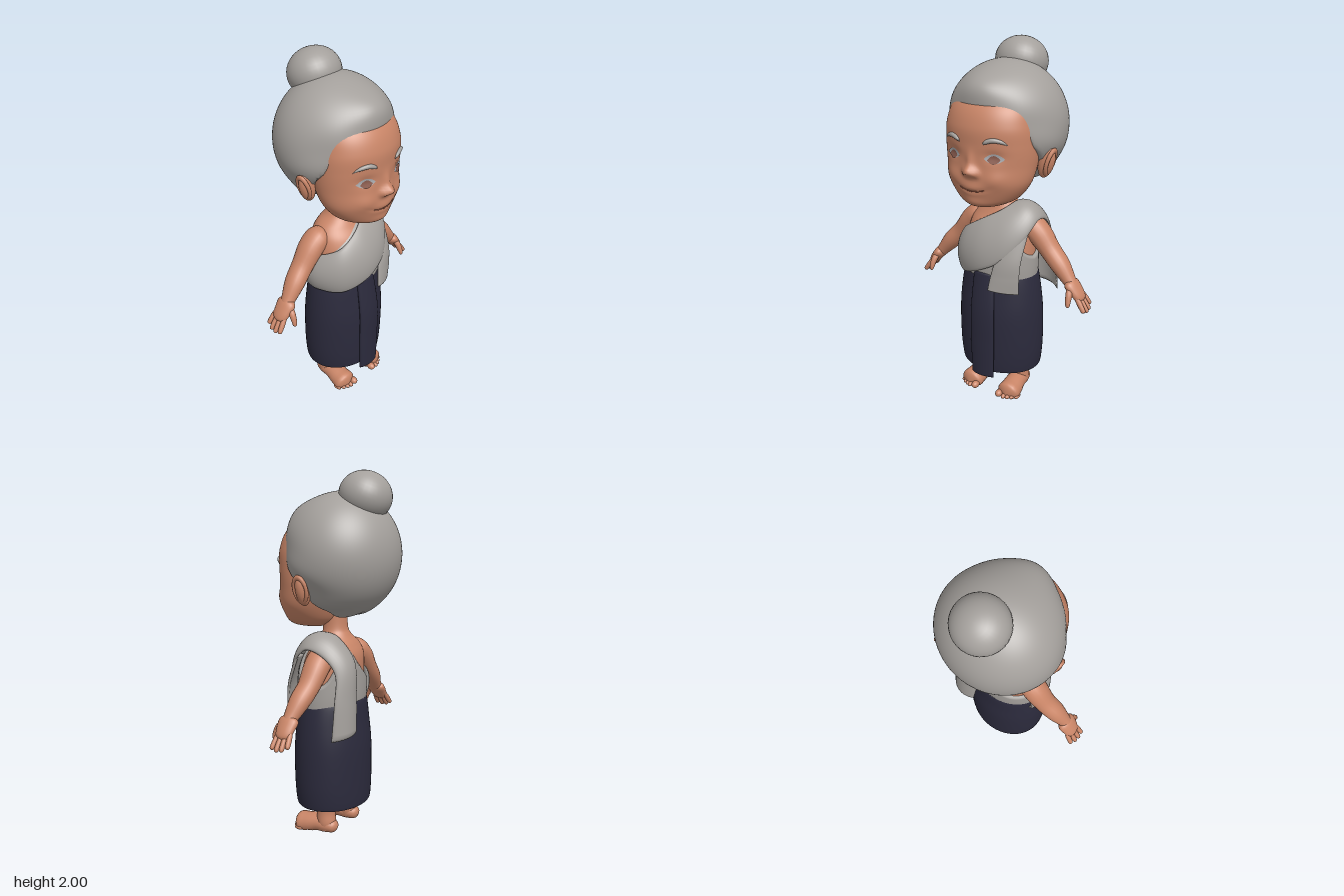
import * as THREE from 'three';
import { mergeVertices } from 'three/addons/utils/BufferGeometryUtils.js';
import { ParametricGeometry } from 'three/addons/geometries/ParametricGeometry.js';

const mat = (name, color) => Object.assign(new THREE.MeshStandardMaterial({ color }), { name });
const skin = mat('skin', 0xc98567), grey = mat('greyHairAndCloth', 0xa4a09c), navy = mat('navyCloth', 0x2b2a3c);
const iris = mat('irisBrown', 0x8d5e50), eyeGrey = mat('eyeGrey', 0xaeb0b4), lip = mat('lipLine', 0x9a5a46);
grey.side = navy.side = THREE.DoubleSide;

// smooth interpolation through rows of numbers, t in 0..1
function mix(rows, t) {
  const n = rows.length - 1, i = Math.min(Math.floor(t * n), n - 1), f = t * n - i;
  const b = rows[i], c = rows[i + 1], a = rows[i - 1] ?? b, d = rows[i + 2] ?? c;
  return b.map((_, k) => b[k] + 0.5 * f * (c[k] - a[k] + f * (2 * a[k] - 5 * b[k] + 4 * c[k] - d[k]
    + f * (3 * (b[k] - c[k]) + d[k] - a[k]))));
}

// section of a loft at height y (first column is y)
function rowAt(rows, y) {
  let lo = 0, hi = 1;
  for (let i = 0; i < 22; i++) {
    const m = (lo + hi) / 2;
    if (mix(rows, m)[0] < y) lo = m; else hi = m;
  }
  return mix(rows, lo);
}

function surf(fn, nu, nv) {
  let g = new ParametricGeometry((u, v, p) => p.set(...fn(u, v)), nu, nv);
  g.deleteAttribute('normal');
  g.deleteAttribute('uv');
  g = mergeVertices(g, 1e-5);
  g.computeVertexNormals();
  return g;
}

// stacked ellipses: rows of [y, radiusX, centreZ, radiusZ]
const loft = (rows, nu = 48, nv = 48, bump = () => 0) => surf((u, v) => {
  const [y, rx, zc, rz] = mix(rows, v), a = -2 * Math.PI * u;
  const x = rx * Math.cos(a), s = Math.sin(a);
  return [x, y, zc + rz * s + (s > 0 ? bump(x, y) * Math.min(1, s * 2) : 0)];
}, nu, nv);

// tapered tube: rows of [x, y, z, radius]; depth scales the cross-section along ref
function limb(rows, depth = 1, ref = new THREE.Vector3(0, 0, 1), nu = 20, nv = 28) {
  const at = t => new THREE.Vector3(...mix(rows, t).slice(0, 3));
  return surf((u, v) => {
    const T = at(Math.min(1, v + 0.01)).sub(at(Math.max(0, v - 0.01))).normalize();
    const N = T.clone().cross(ref).normalize(), B = T.clone().cross(N);
    const r = Math.max(0, mix(rows, v)[3]), a = 2 * Math.PI * u;
    const p = at(v).addScaledVector(N, r * Math.cos(a)).addScaledVector(B, r * depth * Math.sin(a));
    return [p.x, Math.max(0, p.y), p.z];
  }, nu, nv);
}

// thick cloth strip: rows of [edgeA xyz, edgeB xyz]
function drape(rows, th, bulge, nv = 48) {
  const ends = t => { const r = mix(rows, t); return [new THREE.Vector3(...r.slice(0, 3)), new THREE.Vector3(...r.slice(3))]; };
  const mid = t => { const [a, b] = ends(t); return a.add(b); };
  return surf((u, v) => {
    const [a, b] = ends(v), phi = 2 * Math.PI * u, s = 0.5 - 0.5 * Math.cos(phi), sn = Math.sin(phi);
    const across = b.clone().sub(a);
    const N = across.clone().cross(mid(Math.min(1, v + 0.01)).sub(mid(Math.max(0, v - 0.01)))).normalize();
    const h = v < 1e-6 || v > 1 - 1e-6 ? 0 : th * Math.sign(sn) * Math.sqrt(Math.abs(sn));
    const p = a.addScaledVector(across, s).addScaledVector(N, bulge * 4 * s * (1 - s) + h);
    return [p.x, p.y, p.z];
  }, 28, nv);
}

const TORSO = [[0.70, 0.2, 0.02, 0.155], [0.80, 0.205, 0.02, 0.165], [0.92, 0.2, 0.018, 0.165], [1.02, 0.185, 0, 0.145],
  [1.08, 0.15, -0.01, 0.11], [1.13, 0.088, -0.006, 0.08], [1.18, 0.068, 0, 0.068], [1.32, 0.066, 0, 0.066]];
const FACE = [[1.163, 0, 0.15, 0], [1.17, 0.075, 0.15, 0.085], [1.185, 0.125, 0.145, 0.125], [1.22, 0.18, 0.13, 0.155],
  [1.3, 0.235, 0.12, 0.18], [1.4, 0.254, 0.1, 0.2], [1.5, 0.258, 0.1, 0.203], [1.6, 0.25, 0.1, 0.2],
  [1.7, 0.215, 0.08, 0.175], [1.79, 0.11, 0.05, 0.1], [1.81, 0, 0.05, 0]];

// nose, cheeks, mouth, chin and eye sockets
const gauss = (x, y, cy, sx, sy) => Math.exp(-((x / sx) ** 2) - ((y - cy) / sy) ** 2);
const features = (x, y) => {
  const ax = Math.abs(x);
  return 0.046 * gauss(x, y, 1.375, 0.034, 0.027) + 0.016 * gauss(x, y, 1.42, 0.024, 0.045)
    + 0.016 * gauss(ax - 0.034, y, 1.365, 0.018, 0.018) + 0.013 * gauss(ax - 0.13, y, 1.335, 0.06, 0.045)
    + 0.012 * gauss(x, y, 1.28, 0.07, 0.04) + 0.01 * gauss(x, y, 1.205, 0.06, 0.03)
    - 0.012 * gauss(ax - 0.12, y, 1.455, 0.05, 0.03) - 0.008 * gauss(x, y, 1.268 + 2 * x * x, 0.08, 0.009);
};
const faceZ = (x, y) => {
  const [, rx, zc, rz] = rowAt(FACE, y), s = Math.sqrt(Math.max(0, 1 - (x / rx) ** 2));
  return zc + rz * s + features(x, y) * Math.min(1, 2 * s);
};
// thin lens-shaped plate lying on the face
const decal = (cx, cy, hw, up, down, off) => surf((u, v) => {
  const k = 2 * u - 1, e = 1 - k * k, x = cx + hw * k, y = cy + e * (-down + (up + down) * v);
  return [x, y, faceZ(x, y) + off];
}, 16, 6);

// hair cap, sliced by the slanted plane of the hairline
function hairGeometry() {
  const n = new THREE.Vector3(0, -0.583, 0.813), p0 = new THREE.Vector3(0, 1.69, 0.25), p = new THREE.Vector3();
  return surf((u, v) => {
    const a = -2 * Math.PI * u, t = Math.PI * (v - 0.5);
    p.set(0.33 * Math.cos(t) * Math.cos(a), 1.565 + 0.335 * Math.sin(t), -0.055 + 0.305 * Math.cos(t) * Math.sin(a));
    const puff = Math.exp(-((p.x / 0.22) ** 2) - ((p.y - 1.78) / 0.11) ** 2 - ((p.z - 0.18) / 0.13) ** 2);
    p.z += 0.055 * puff;
    p.y += 0.012 * puff;
    const d = p.clone().sub(p0).dot(n), wave = Math.cos(9 * Math.atan2(p.x, p.y - 1.45));
    // wavy locks that fade out behind the hairline
    const k = 1 + 0.016 * wave * Math.exp(-(((d + 0.05) / 0.09) ** 2));
    p.x *= k;
    p.y = 1.55 + (p.y - 1.55) * k;
    const limit = 0.006 * wave, d2 = p.clone().sub(p0).dot(n);
    if (d2 > limit) p.addScaledVector(n, limit - d2);
    return [p.x, p.y, p.z];
  }, 80, 64);
}

export function createModel() {
  const model = new THREE.Group();
  const add = (name, geo, material, parent = model) => {
    const m = new THREE.Mesh(geo, material);
    m.name = name;
    parent.add(m);
    return m;
  };
  const ball = (name, material, pos, scale) => {
    const m = add(name, new THREE.SphereGeometry(1, 32, 20), material);
    m.position.set(...pos);
    m.scale.set(...scale);
    return m;
  };

  // head
  add('face', loft(FACE, 140, 90, features), skin);
  add('hair', hairGeometry(), grey);
  ball('hairBun', grey, [0, 1.872, -0.187], [0.145, 0.128, 0.142]).rotation.x = -0.4;
  const mouth = [-0.075, -0.04, 0, 0.04, 0.075].map(x => {
    const y = 1.268 + 2.2 * x * x;
    return new THREE.Vector3(x, y, faceZ(x, y));
  });
  add('mouthLine', new THREE.TubeGeometry(new THREE.CatmullRomCurve3(mouth), 24, 0.0035, 6), lip);

  // torso and wrapped cloth
  add('torso', loft(TORSO), skin);
  const WRAP_TOP = [0.86, 0.9, 1.08, 0.98, 0.9, 0.89, 0.92, 0.97, 1.03, 1.08, 1.1, 0.92, 0.86].map(y => [y]);
  add('chestWrap', surf((u, v) => {
    const y = 0.745 + (mix(WRAP_TOP, u)[0] - 0.745) * v, [, rx, zc, rz] = rowAt(TORSO, y);
    const a = -2 * Math.PI * u, off = 0.016 * Math.min(1, (1 - v) * 10);
    return [(rx + off) * Math.cos(a), y, zc + (rz + off) * Math.sin(a)];
  }, 72, 24), grey);
  add('shoulderSash', drape([
    [-0.195, 0.92, -0.07, -0.215, 0.735, -0.07], [-0.208, 0.95, 0.03, -0.23, 0.735, 0.03],
    [-0.15, 1.0, 0.125, -0.16, 0.735, 0.155], [-0.05, 1.06, 0.135, -0.02, 0.79, 0.218],
    [0.04, 1.11, 0.1, 0.12, 0.87, 0.2], [0.08, 1.14, 0.05, 0.215, 0.99, 0.125],
    [0.085, 1.145, 0, 0.245, 1.075, 0.03], [0.07, 1.12, -0.07, 0.235, 1.04, -0.08],
    [0.06, 1.0, -0.16, 0.225, 0.95, -0.15], [0.08, 0.8, -0.185, 0.25, 0.8, -0.16],
    [0.1, 0.62, -0.2, 0.27, 0.6, -0.155]], 0.012, 0.03, 80), grey);
  add('hangingSashEnd', drape([[0.225, 1.02, 0.1, 0.11, 1.02, 0.14], [0.215, 0.87, 0.16, 0.08, 0.87, 0.2],
    [0.21, 0.77, 0.17, 0.06, 0.77, 0.222], [0.205, 0.68, 0.165, 0.05, 0.695, 0.235]], 0.011, 0.012), grey);

  // skirt with hollow hem and front pleat
  add('skirt', loft([[0.27, 0, 0.01, 0], [0.26, 0.19, 0.01, 0.155], [0.185, 0.215, 0.01, 0.175], [0.17, 0.226, 0.01, 0.186],
    [0.18, 0.238, 0.01, 0.197], [0.3, 0.25, 0.012, 0.203], [0.5, 0.25, 0.014, 0.202], [0.65, 0.236, 0.014, 0.187],
    [0.76, 0.214, 0.012, 0.175], [0.775, 0.2, 0.012, 0.16]], 56, 72), navy);
  add('frontPleat', drape([[-0.07, 0.14, 0.212, 0.07, 0.14, 0.212], [-0.076, 0.35, 0.213, 0.074, 0.35, 0.213],
    [-0.075, 0.55, 0.21, 0.073, 0.55, 0.21], [-0.07, 0.775, 0.178, 0.06, 0.775, 0.178]], 0.013, 0.012), navy);

  for (const s of [1, -1]) {
    const side = s > 0 ? 'left' : 'right';
    const flip = rows => rows.map(([x, ...rest]) => [x * s, ...rest]);

    // eye, brow and ear
    add(side + 'Eye', decal(s * 0.123, 1.447, 0.05, 0.026, 0.024, 0.004), eyeGrey);
    add(side + 'Iris', decal(s * 0.122, 1.442, 0.032, 0.022, 0.021, 0.007), iris);
    const brow = [[0.07, 1.518, 0], [0.085, 1.532, 0.01], [0.12, 1.543, 0.012], [0.16, 1.535, 0.009], [0.188, 1.516, 0]];
    add(side + 'Brow', limb(flip(brow.map(([x, y, r]) => [x, y, faceZ(x, y) + 0.002, r]))), grey);
    const ear = ball(side + 'Ear', skin, [s * 0.278, 1.395, 0.018], [0.043, 0.086, 0.036]);
    ear.rotation.z = -s * 0.3;
    const rim = add(side + 'EarRim', new THREE.TorusGeometry(0.045, 0.011, 10, 28), skin);
    rim.position.set(s * 0.3, 1.4, 0.018);
    rim.rotation.set(0, Math.PI / 2, -s * 0.3, 'ZYX');
    rim.scale.set(0.85, 1.45, 1);

    // arm, hand and fingers
    const arm = new THREE.Group();
    arm.name = side + 'Arm';
    model.add(arm);
    add('upperAndLowerArm', limb(flip([[0.1, 1.05, -0.015, 0], [0.15, 1.035, -0.018, 0.058], [0.215, 0.985, -0.025, 0.066],
      [0.29, 0.895, -0.025, 0.056], [0.36, 0.825, -0.015, 0.052], [0.42, 0.755, -0.005, 0.037], [0.45, 0.72, 0, 0.03]]), 1.1), skin, arm);
    add('palm', limb(flip([[0.415, 0.765, -0.004, 0], [0.43, 0.745, -0.003, 0.03], [0.465, 0.705, -0.004, 0.03],
      [0.495, 0.665, -0.006, 0.022], [0.505, 0.65, -0.006, 0]]), 1.8), skin, arm);
    for (let i = 0; i < 4; i++) {
      const z = 0.034 - i * 0.027, len = [0.92, 1, 0.95, 0.75][i];
      const q = (k, r) => [0.48 + 0.062 * k * len, 0.685 - 0.088 * k * len, z * (0.9 + 0.25 * k) - 0.003, r];
      add('finger' + (i + 1), limb(flip([q(0, 0.012), q(0.4, 0.0145), q(0.8, 0.0135), q(0.95, 0.01), q(1, 0)]), 1, undefined, 12, 16), skin, arm);
    }
    add('thumb', limb(flip([[0.435, 0.735, 0.02, 0.012], [0.45, 0.705, 0.05, 0.018], [0.455, 0.665, 0.07, 0.015],
      [0.458, 0.64, 0.078, 0.01], [0.459, 0.633, 0.08, 0]]), 1, undefined, 12, 16), skin, arm);

    // leg, foot and toes
    add(side + 'Leg', limb(flip([[0.11, 0.34, -0.01, 0.06], [0.11, 0.2, -0.008, 0.057], [0.11, 0.12, -0.008, 0.053],
      [0.112, 0.06, -0.015, 0.054], [0.113, 0.02, -0.02, 0.045]])), skin);
    add(side + 'Foot', limb(flip([[0.112, 0.035, -0.085, 0], [0.112, 0.038, -0.07, 0.034], [0.113, 0.046, -0.02, 0.052],
      [0.117, 0.048, 0.04, 0.056], [0.124, 0.036, 0.1, 0.063], [0.127, 0.026, 0.15, 0.062], [0.128, 0.02, 0.175, 0]]),
      0.9, new THREE.Vector3(0, 1, 0)), skin);
    for (let i = 0; i < 5; i++) {
      const r = i ? 0.0145 - i * 0.0007 : 0.021;
      ball(side + 'Toe' + (i + 1), skin, [s * (i ? 0.093 + i * 0.0225 : 0.083), r, 0.172 - i * i * 0.0025], [r, r, 0.027]);
    }
  }
  return model;
}
